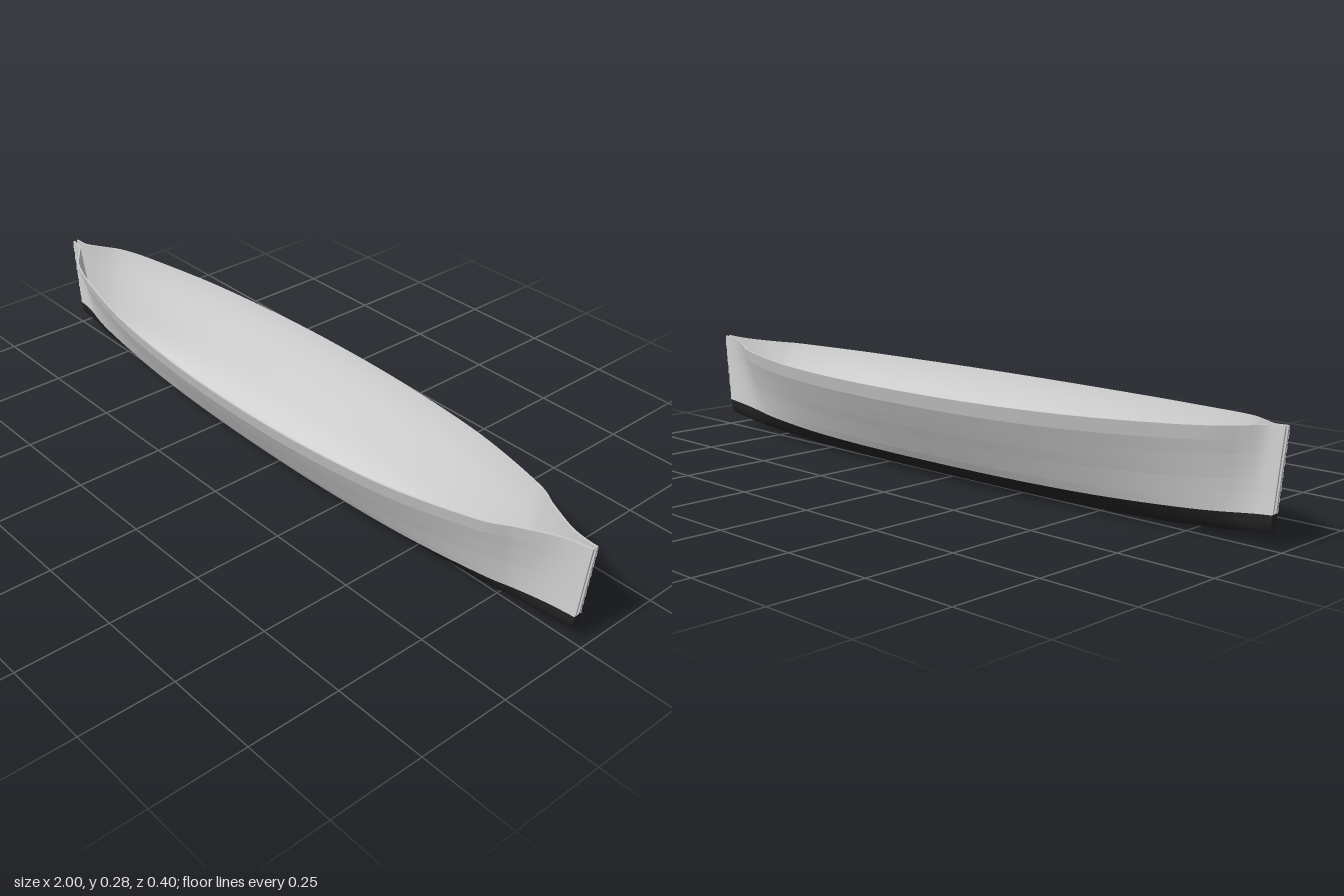
import * as THREE from 'three';

const hullGrey = new THREE.MeshStandardMaterial({ color: 0xcccccc, side: THREE.DoubleSide });
hullGrey.name = 'hull grey';
const bottomBlack = new THREE.MeshStandardMaterial({ color: 0x222222, side: THREE.DoubleSide });
bottomBlack.name = 'bottom black';

// Half breadth of the rim along the length (x, z)
const rimPlan = new THREE.SplineCurve([
  [-1, 0.009], [-0.96, 0.015], [-0.92, 0.043], [-0.86, 0.083], [-0.75, 0.118], [-0.52, 0.166], [-0.25, 0.194],
  [0, 0.202], [0.25, 0.194], [0.52, 0.164], [0.75, 0.106], [0.83, 0.066], [0.91, 0.028], [0.96, 0.014], [1, 0.009],
].map(([x, z]) => new THREE.Vector2(x, z))).getPoints(112);

// Plank lines from rim to keel: midship height, midship half breadth, height at the stems
const LINES = [
  [0.255, 0.202, 0.28], [0.22, 0.19, 0.25], [0.185, 0.169, 0.22], [0.155, 0.15, 0.19],
  [0.127, 0.131, 0.163], [0.1, 0.113, 0.132], [0.075, 0.096, 0.107], [0.052, 0.078, 0.083],
  [0.03, 0.056, 0.068], [0.012, 0.031, 0.053], [0, 0, 0.04],
];
const WATER = 7;
const KEEL = LINES.length - 1;
const END = 0.009;
const LAP = 0.0025;

// One fore-and-aft line of points on the outer skin
function line(k, out = 0) {
  const [yMid, zMid, yEnd] = LINES[k];
  const t = k / KEEL;
  const zEnd = k === KEEL ? 0 : END;
  return rimPlan.map((p) => {
    const r = THREE.MathUtils.clamp((p.y - END) / (0.202 - END), 0, 1);
    const rise = Math.pow(Math.abs(p.x), 2.5 + t);
    return new THREE.Vector3(
      p.x * (1 - 0.025 * (0.28 - yEnd) / 0.24),
      yMid + (yEnd - yMid) * rise - out * 0.4,
      zEnd + (zMid - zEnd) * Math.pow(r, 1 + 0.5 * t) + out,
    );
  });
}

// Matching line on the inner skin
function innerLine(k) {
  return line(k).map((p) => new THREE.Vector3(
    p.x, p.y + 0.005 * k / KEEL, k === KEEL ? 0 : Math.max(p.z - 0.005, 0.004)));
}

// Skin through successive lines; side -1 mirrors it to the far side
function loft(lines, side) {
  const n = lines[0].length;
  const pos = [];
  const index = [];
  lines.forEach((row) => row.forEach((p) => pos.push(p.x, p.y, p.z * side)));
  for (let i = 0; i < lines.length - 1; i++) {
    for (let j = 0; j < n - 1; j++) {
      const a = i * n + j, b = a + n;
      if (side > 0) index.push(a, b, a + 1, b, b + 1, a + 1);
      else index.push(a, a + 1, b, b, a + 1, b + 1);
    }
  }
  const g = new THREE.BufferGeometry();
  g.setAttribute('position', new THREE.Float32BufferAttribute(pos, 3));
  g.setIndex(index);
  g.computeVertexNormals();
  return g;
}

export function createModel() {
  const boat = new THREE.Group();
  boat.name = 'openHull';
  const outer = LINES.map((_, k) => line(k));
  const inner = LINES.map((_, k) => innerLine(k));
  const last = rimPlan.length - 1;

  for (const side of [1, -1]) {
    const half = new THREE.Group();
    half.name = side > 0 ? 'frontHalf' : 'backHalf';
    boat.add(half);
    const add = (name, lines, material) => {
      const mesh = new THREE.Mesh(loft(lines, side), material);
      mesh.name = name;
      half.add(mesh);
    };

    // Overlapping planks, each with a small ledge under its lower edge
    for (let k = 0; k < WATER; k++) {
      const lower = line(k + 1, LAP);
      add('plank', [outer[k], lower], hullGrey);
      add('plankLedge', [lower, outer[k + 1]], hullGrey);
    }

    // Dark bottom, pale lining and top edge
    add('bottom', outer.slice(WATER), bottomBlack);
    add('lining', [...inner].reverse(), hullGrey);
    add('rim', [inner[0], outer[0]], hullGrey);

    // Stem faces: open slit above the waterline, closed below it
    for (const j of [0, last]) {
      const face = (from, to, closed) => {
        const a = [], b = [];
        for (let k = from; k <= to; k++) {
          a.push(outer[k][j]);
          b.push(closed ? new THREE.Vector3(outer[k][j].x, outer[k][j].y, 0) : inner[k][j]);
        }
        return j === 0 ? [a, b] : [b, a];
      };
      add('stemEdge', face(0, WATER, false), hullGrey);
      add('stemFoot', face(WATER, KEEL, true), bottomBlack);
    }
  }
  return boat;
}
